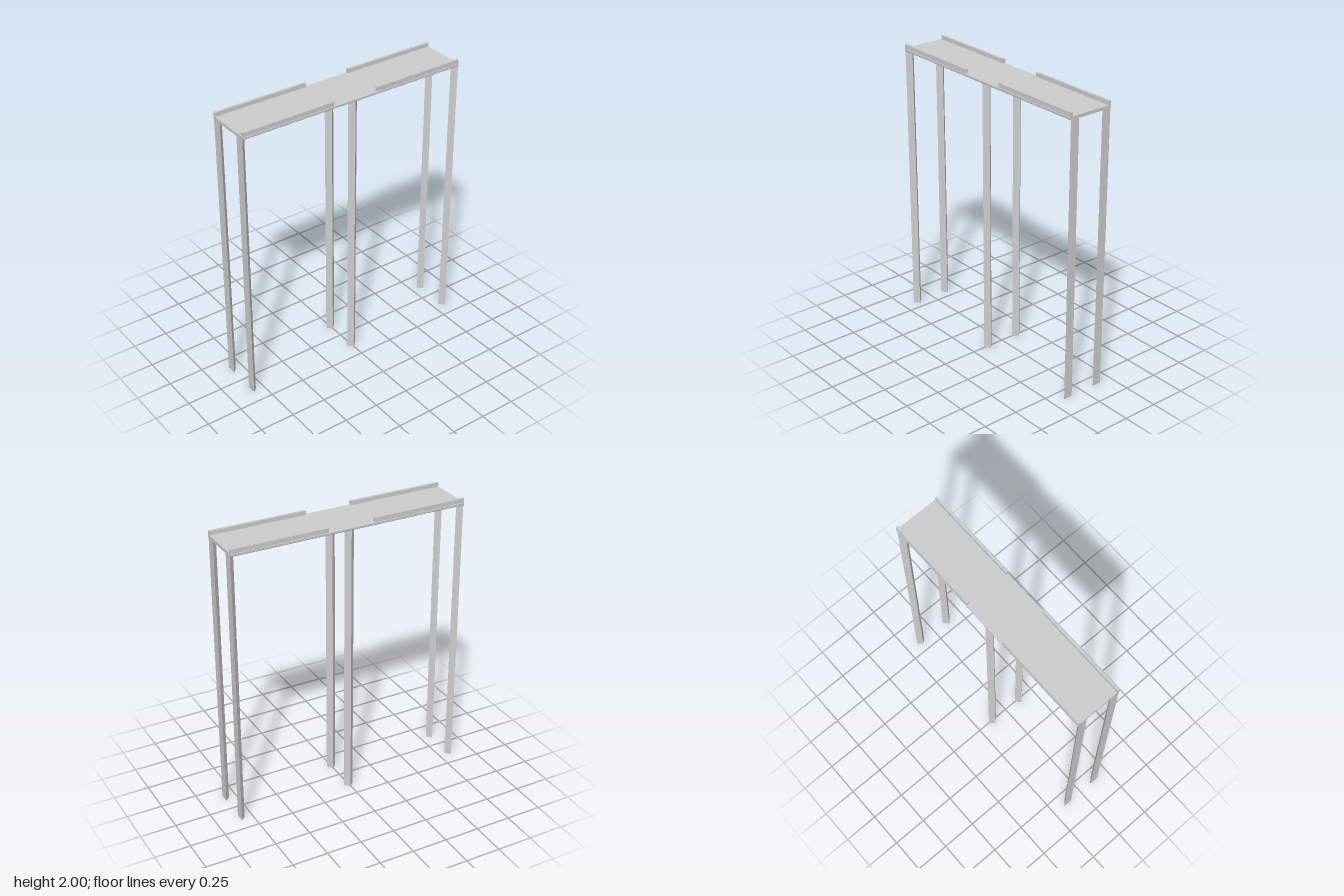
import * as THREE from 'three';

const material = new THREE.MeshStandardMaterial({ color: 0xcccccc, flatShading: true });

// Upright prism from a plan outline given as [x, z] points
function prism(points, height) {
  const shape = new THREE.Shape(points.map(([x, z]) => new THREE.Vector2(x, -z)));
  return new THREE.ExtrudeGeometry(shape, { depth: height, bevelEnabled: false }).rotateX(-Math.PI / 2);
}

export function createModel() {
  const group = new THREE.Group();
  const halfLength = 0.836, halfWidth = 0.166;
  const deckBottom = 1.95, deckTop = 1.972;
  const add = (name, geometry, x, y, z) => {
    const mesh = new THREE.Mesh(geometry, material);
    mesh.name = name;
    mesh.position.set(x, y, z);
    group.add(mesh);
  };

  // Long thin deck with slightly chamfered side edges
  const c = 0.005;
  const section = new THREE.Shape([
    [-halfWidth + c, deckBottom], [halfWidth - c, deckBottom],
    [halfWidth, deckBottom + c], [halfWidth, deckTop - c],
    [halfWidth - c, deckTop], [-halfWidth + c, deckTop],
    [-halfWidth, deckTop - c], [-halfWidth, deckBottom + c],
  ].map(([x, y]) => new THREE.Vector2(x, y)));
  add('deck', new THREE.ExtrudeGeometry(section, { depth: 2 * halfLength, bevelEnabled: false }),
    0, 0, -halfLength);

  // Four low rails, leaving a gap in the middle of each side
  const gap = 0.165, railLength = halfLength - gap;
  for (const sx of [-1, 1]) {
    for (const sz of [-1, 1]) {
      add('rail', new THREE.BoxGeometry(0.018, 2 - deckTop + 0.004, railLength),
        sx * 0.155, (2 + deckTop - 0.004) / 2, sz * (gap + railLength / 2));
    }
  }

  // Triangular end legs with flat outer faces, and diamond-shaped middle legs
  const w = 0.033, d = 0.034;
  const endLeg = prism([[-w, 0], [w, 0], [0, -d]], deckBottom);
  const middleLeg = prism([[-w, 0], [0, d], [w, 0], [0, -d]], deckBottom);
  const backLeg = endLeg.clone().rotateY(Math.PI);
  for (const sx of [-1, 1]) {
    add('frontLeg', endLeg, sx * 0.127, 0, halfLength);
    add('middleLeg', middleLeg, sx * 0.127, 0, 0);
    add('backLeg', backLeg, sx * 0.127, 0, -halfLength);
  }
  return group;
}
